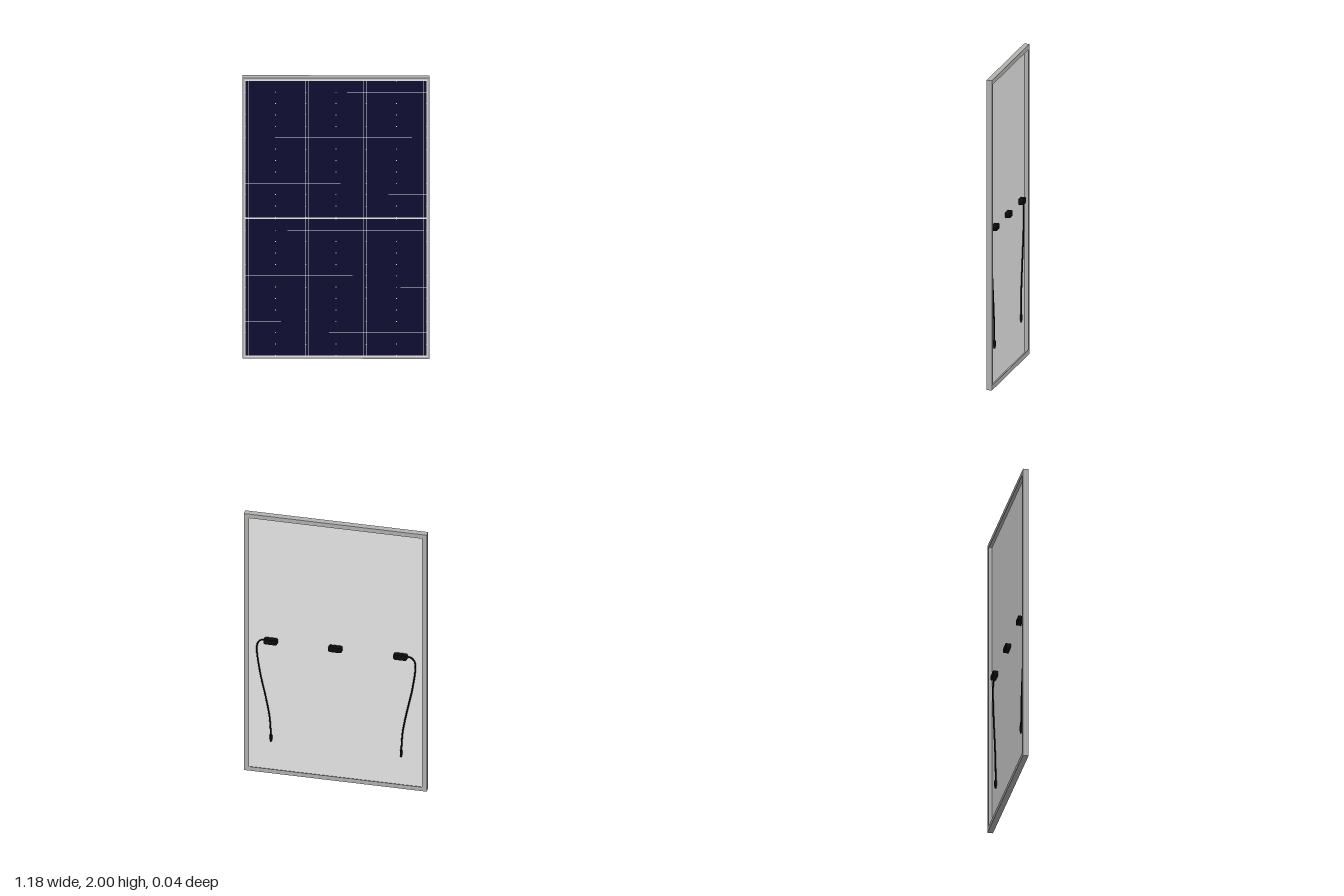
import * as THREE from 'three';
import { mergeGeometries } from 'three/addons/utils/BufferGeometryUtils.js';

const W = 1.18, H = 2, FRONT = 0.02, BACK = -0.016;
const SHEET_BACK = 0.0125, SHEET_FRONT = 0.0172;

const paint = (name, color) => {
  const m = new THREE.MeshStandardMaterial({ color });
  m.name = name;
  return m;
};

// Rectangle centred on (x, y) with its corners cut off by c
function cutRect(x, y, w, h, c) {
  const a = w / 2, b = h / 2;
  return new THREE.Shape([
    [-a + c, -b], [a - c, -b], [a, -b + c], [a, b - c],
    [a - c, b], [-a + c, b], [-a, b - c], [-a, -b + c],
  ].map(([px, py]) => new THREE.Vector2(x + px, y + py)));
}

function rect(w, h) {
  const a = w / 2, b = H / 2, k = h / 2;
  return [[-a, b - k], [a, b - k], [a, b + k], [-a, b + k]].map(p => new THREE.Vector2(...p));
}

// Rectangular frame of a given border width between two depths
function ring(border, z0, z1) {
  const s = new THREE.Shape(rect(W, H));
  s.holes.push(new THREE.Path(rect(W - 2 * border, H - 2 * border).reverse()));
  return new THREE.ExtrudeGeometry(s, { depth: z1 - z0, bevelEnabled: false }).translate(0, 0, z0);
}

function roundedRect(w, h, r) {
  const s = new THREE.Shape(), a = w / 2 - r, b = h / 2 - r;
  s.absarc(a, b, r, 0, Math.PI / 2);
  s.absarc(-a, b, r, Math.PI / 2, Math.PI);
  s.absarc(-a, -b, r, Math.PI, Math.PI * 1.5);
  s.absarc(a, -b, r, Math.PI * 1.5, Math.PI * 2);
  return s;
}

export function createModel() {
  const model = new THREE.Group();
  model.name = 'solarPanel';
  const aluminium = paint('aluminium', 0xb2b2b0);
  const white = paint('backsheetWhite', 0xe8e8e8);
  const navy = paint('cellNavy', 0x0e0e32);
  const silver = paint('busbarSilver', 0xc8c8c8);
  const black = paint('blackPlastic', 0x0c0c0c);
  const add = (name, geometry, material, parent = model) => {
    const mesh = new THREE.Mesh(geometry, material);
    mesh.name = name;
    parent.add(mesh);
    return mesh;
  };

  // Aluminium frame: outer wall and wider rear flange
  add('frameWall', ring(0.012, BACK + 0.003, FRONT), aluminium);
  add('frameRearFlange', ring(0.031, BACK, BACK + 0.003), aluminium);

  // White laminate sheet
  const sheet = new THREE.BoxGeometry(W - 0.024, H - 0.024, SHEET_FRONT - SHEET_BACK);
  add('backsheet', sheet.translate(0, H / 2, (SHEET_FRONT + SHEET_BACK) / 2), white);

  // Half cells: two banks of 6 x 12, with clipped corners
  const cols = 6, rows = 12, gap = 0.0006, midGap = 0.01;
  const areaW = 1.148, bankH = 0.973;
  const cw = areaW / cols, ch = bankH / rows;
  const cells = [], bars = [];
  for (const side of [-1, 1]) {
    const bankY = H / 2 + side * (midGap + bankH) / 2;
    for (let i = 0; i < cols; i++) {
      const x = (i + 0.5) * cw - areaW / 2;
      for (let j = 0; j < rows; j++) {
        const y = bankY - bankH / 2 + (j + 0.5) * ch;
        cells.push(new THREE.ShapeGeometry(cutRect(x, y, cw - gap, ch - gap, 0.004)));
      }
      // Fine vertical conductors across each column
      for (let k = 0; k < 5; k++) {
        bars.push(new THREE.PlaneGeometry(0.0004, bankH)
          .translate(x + ((k + 0.5) / 5 - 0.5) * cw, bankY, 0));
      }
    }
  }
  add('cells', mergeGeometries(cells), navy).position.z = 0.0178;
  add('busbars', mergeGeometries(bars), silver).position.z = 0.0182;

  // Three junction boxes on the rear
  const boxBack = -0.0205, boxY = 1.02, bevel = 0.003;
  [-0.417, 0.003, 0.42].forEach((x, i) => {
    const g = new THREE.ExtrudeGeometry(roundedRect(0.084, 0.032, 0.011), {
      depth: SHEET_BACK - boxBack - 2 * bevel, bevelEnabled: true,
      bevelThickness: bevel, bevelSize: bevel, bevelSegments: 2, curveSegments: 5,
    });
    add('junctionBox' + (i + 1), g.translate(x, boxY, boxBack + bevel), black);
  });

  // Cable and plug hanging from each outer box
  for (const side of [-1, 1]) {
    const lead = new THREE.Group();
    lead.name = side > 0 ? 'leftLead' : 'rightLead';
    model.add(lead);
    const path = new THREE.CatmullRomCurve3([
      [0.45, 1.02], [0.485, 1.015], [0.507, 0.985], [0.511, 0.93],
      [0.49, 0.76], [0.455, 0.58], [0.43, 0.43], [0.42, 0.28],
    ].map(([x, y]) => new THREE.Vector3(side * x, y, 0.004)));
    add('cable', new THREE.TubeGeometry(path, 60, 0.005, 8), black, lead);
    add('plugBody', new THREE.CylinderGeometry(0.0085, 0.0085, 0.036, 12), black, lead)
      .position.set(side * 0.42, 0.268, 0.003);
    add('plugTip', new THREE.CylinderGeometry(0.006, 0.006, 0.016, 12), black, lead)
      .position.set(side * 0.42, 0.243, 0.003);
  }
  return model;
}
